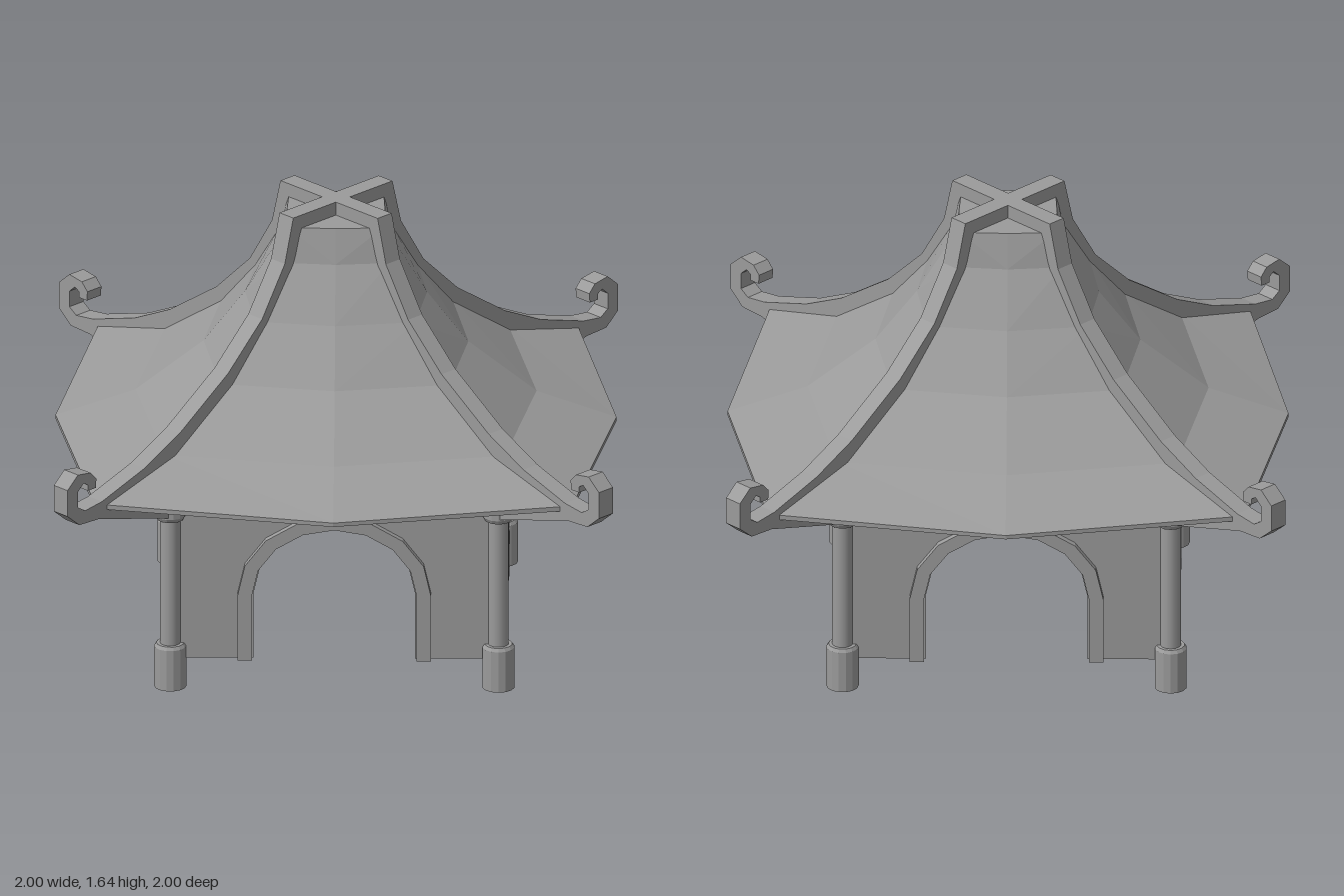
import * as THREE from 'three';

const C = 0.585; // post and wall distance from the centre

export function createModel() {
  const model = new THREE.Group();
  model.name = 'pavilion';
  const flat = new THREE.MeshStandardMaterial({ color: 0x9b9b9b, flatShading: true, side: THREE.DoubleSide });
  const smooth = new THREE.MeshStandardMaterial({ color: 0x9b9b9b });

  const add = (parent, name, geometry, material = flat) => {
    const mesh = new THREE.Mesh(geometry, material);
    mesh.name = name;
    parent.add(mesh);
    return mesh;
  };
  const points = (list) => list.map(([x, y]) => new THREE.Vector2(x, y));
  const slab = (shape, z, depth) =>
    new THREE.ExtrudeGeometry(shape, { depth, bevelEnabled: false }).translate(0, 0, z);

  // Roof: eight-sided rings of [side distance, corner distance, side y, corner y]
  const rings = [
    [0.58, 0.58, 0.71, 0.71],
    [1.0, 0.85, 0.785, 0.79],
    [1.0, 0.85, 0.8, 0.808],
    [0.715, 0.608, 0.9, 0.9],
    [0.472, 0.408, 1.09, 1.09],
    [0.325, 0.285, 1.28, 1.28],
    [0.212, 0.193, 1.47, 1.47],
    [0.175, 0.168, 1.595, 1.595],
    [0, 0, 1.595, 1.595],
  ];
  const position = [];
  const index = [];
  rings.forEach(([side, corner, sideY, cornerY], r) => {
    for (let k = 0; k < 8; k++) {
      const a = (k * Math.PI) / 4;
      const isCorner = k % 2 === 1;
      const d = isCorner ? corner * Math.SQRT2 : side;
      position.push(Math.sin(a) * d, isCorner ? cornerY : sideY, Math.cos(a) * d);
      if (r === rings.length - 1) continue;
      // diagonals mirror about each side's middle
      const lo = r * 8 + k, lo2 = r * 8 + ((k + 1) % 8);
      if (isCorner) index.push(lo, lo2, lo + 8, lo2, lo2 + 8, lo + 8);
      else index.push(lo, lo2, lo2 + 8, lo, lo2 + 8, lo + 8);
    }
  });
  const roof = new THREE.BufferGeometry();
  roof.setAttribute('position', new THREE.Float32BufferAttribute(position, 3));
  roof.setIndex(index);
  roof.computeVertexNormals();
  add(model, 'roof', roof);

  // Ridge with curled end: outline along the diagonal, as [corner distance, y]
  const ridgeOutline = [
    [0, 1.645], [0.175, 1.645], [0.205, 1.48], [0.285, 1.3], [0.405, 1.14],
    [0.575, 0.98], [0.7, 0.895], [0.85, 0.828], [0.91, 0.817],
    // curl, inside then outside
    [0.935, 0.84], [0.935, 0.9], [0.915, 0.925], [0.9, 0.912], [0.9, 0.89],
    [0.872, 0.89], [0.87, 0.925], [0.89, 0.955], [0.935, 0.965], [0.972, 0.92],
    [0.972, 0.82], [0.93, 0.77], [0.86, 0.765],
    // bracket and hidden underside
    [0.6, 0.66], [0.57, 0.66], [0.57, 0.72], [0.79, 0.8], [0.6, 0.88],
    [0.4, 1.06], [0.265, 1.26], [0.18, 1.45], [0.15, 1.56], [0, 1.56],
  ];
  const ridgeShape = new THREE.Shape(points(ridgeOutline.map(([c, y]) => [c * Math.SQRT2, y])));
  const ridgeGeometry = slab(ridgeShape, -0.035, 0.07);

  // Post with base and capital
  const parts = [
    ['postBase', [[0, 0], [0.058, 0], [0.058, 0.155], [0.05, 0.167], [0, 0.167]]],
    ['postShaft', [[0.037, 0.16], [0.037, 0.66]]],
    ['postCapital', [[0, 0.645], [0.048, 0.645], [0.056, 0.66], [0.056, 0.72], [0, 0.72]]],
  ];

  // Arch outline from right foot over the top to left foot
  const arch = (rx, ry) => {
    const out = [[rx, 0.11]];
    for (let i = 0; i <= 8; i++) {
      const a = (i * Math.PI) / 8;
      out.push([Math.cos(a) * rx, 0.36 + Math.sin(a) * ry]);
    }
    out.push([-rx, 0.11]);
    return out;
  };
  const decagon = (radius) => points(Array.from({ length: 10 }, (_, i) => {
    const a = (i * Math.PI) / 5;
    return [Math.cos(a) * radius, 0.42 + Math.sin(a) * radius];
  }));

  const archWall = new THREE.Shape(points([[-C, 0.11], [-C, 0.72], [C, 0.72], [C, 0.11], ...arch(0.288, 0.248)]));
  const archTrim = new THREE.Shape(points([...arch(0.345, 0.3), ...arch(0.294, 0.254).reverse()]));
  const windowWall = new THREE.Shape(points([[-C, 0.11], [C, 0.11], [C, 0.72], [-C, 0.72]]));
  windowWall.holes.push(new THREE.Path(decagon(0.181)));
  const windowTrim = new THREE.Shape(decagon(0.235));
  windowTrim.holes.push(new THREE.Path(decagon(0.187)));

  // Four quarters: a wall, a corner ridge and a post each
  for (let i = 0; i < 4; i++) {
    const quarter = new THREE.Group();
    quarter.name = ['front', 'left', 'back', 'right'][i] + 'Quarter';
    quarter.rotation.y = (i * Math.PI) / 2;
    model.add(quarter);

    const isDoor = i % 2 === 0;
    add(quarter, isDoor ? 'archWall' : 'windowWall', slab(isDoor ? archWall : windowWall, C - 0.04, 0.045));
    add(quarter, isDoor ? 'archTrim' : 'windowTrim', slab(isDoor ? archTrim : windowTrim, C - 0.012, 0.045));

    add(quarter, 'cornerRidge', ridgeGeometry).rotation.y = -Math.PI / 4;

    const post = new THREE.Group();
    post.name = 'post';
    post.position.set(C, 0, C);
    quarter.add(post);
    for (const [name, profile] of parts) {
      const straight = name === 'postShaft';
      add(post, name, new THREE.LatheGeometry(points(profile), 14), straight ? smooth : flat);
    }
  }
  return model;
}
